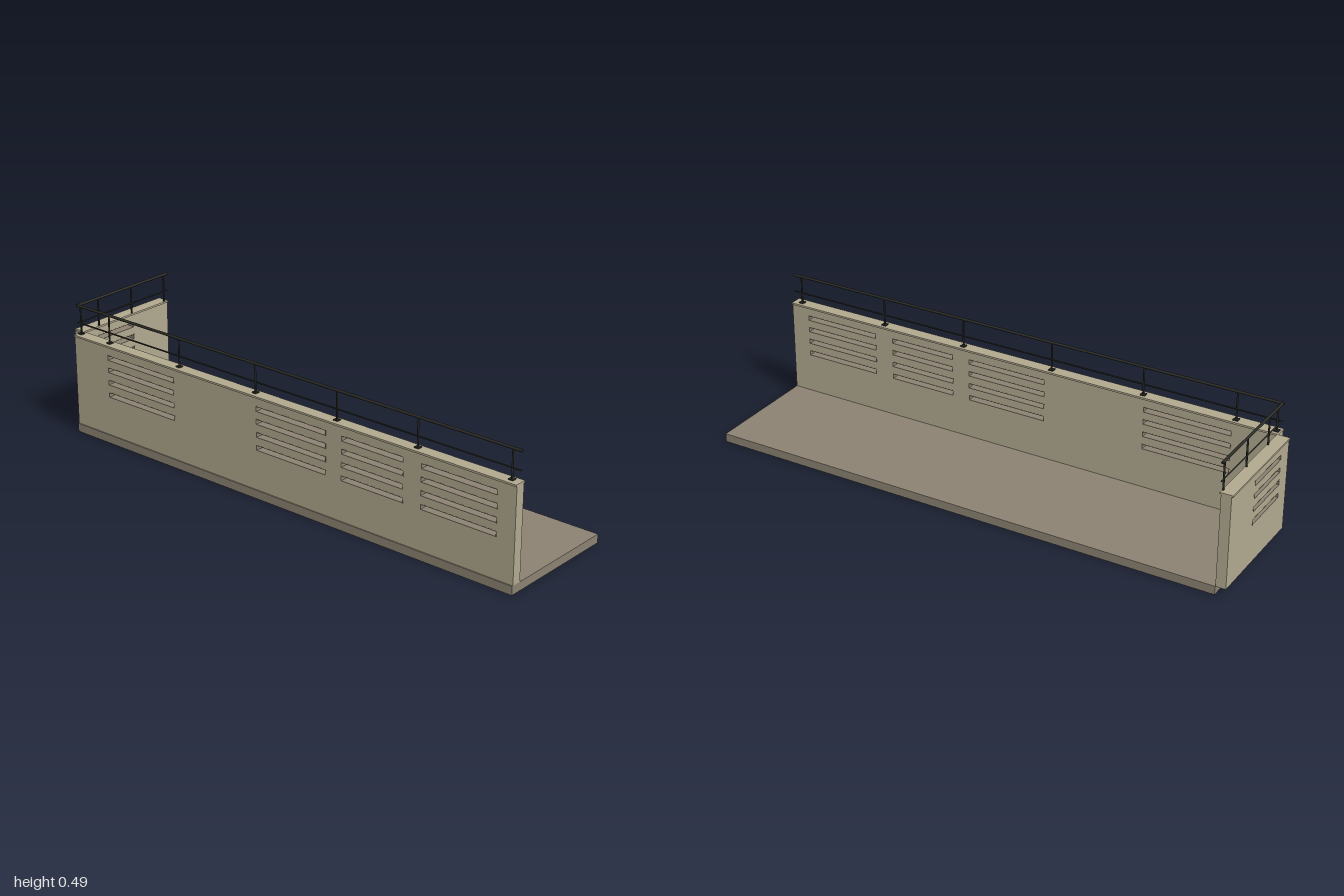
import * as THREE from 'three';

const material = (name, color) => {
  const m = new THREE.MeshStandardMaterial({ color });
  m.name = name;
  return m;
};

export function createModel() {
  const model = new THREE.Group();
  model.name = 'balcony';
  const plaster = material('plaster', 0xb1a98f);
  const stone = material('stone', 0x8b8272);
  const iron = material('dark iron', 0x2a2b25);

  const add = (parent, name, geometry, mat) => {
    const mesh = new THREE.Mesh(geometry, mat);
    mesh.name = name;
    parent.add(mesh);
    return mesh;
  };
  // Box given by its limits on each axis
  const box = (parent, name, x0, x1, y0, y1, z0, z1, mat) =>
    add(parent, name, new THREE.BoxGeometry(x1 - x0, y1 - y0, z1 - z0), mat)
      .position.set((x0 + x1) / 2, (y0 + y1) / 2, (z0 + z1) / 2);
  // Round bar between two points
  const bar = (parent, name, a, b, radius) => {
    const from = new THREE.Vector3(...a), to = new THREE.Vector3(...b);
    const dir = to.clone().sub(from);
    const mesh = add(parent, name, new THREE.CylinderGeometry(radius, radius, dir.length(), 10), iron);
    mesh.position.copy(from).add(to).multiplyScalar(0.5);
    mesh.quaternion.setFromUnitVectors(new THREE.Vector3(0, 1, 0), dir.normalize());
  };
  const rectangle = (path, x0, x1, y0, y1) => {
    path.moveTo(x0, y0);
    path.lineTo(x1, y0);
    path.lineTo(x1, y1);
    path.lineTo(x0, y1);
    path.closePath();
    return path;
  };

  // Wall with rows of open slots, each slot lined with a slim frame
  const rows = [0.179, 0.227, 0.275, 0.322];
  const slotHeight = 0.021, rim = 0.002;
  const slottedWall = (name, x0, x1, depth, spans) => {
    const wall = new THREE.Group();
    wall.name = name;
    const shape = rectangle(new THREE.Shape(), x0, x1, 0.032, 0.373);
    for (const [a, b] of spans) for (const y of rows) {
      shape.holes.push(rectangle(new THREE.Path(), a, b, y, y + slotHeight));
      const frame = rectangle(new THREE.Shape(), a, b, y, y + slotHeight);
      frame.holes.push(rectangle(new THREE.Path(), a + rim, b - rim, y + rim, y + slotHeight - rim));
      add(wall, 'slotFrame', new THREE.ExtrudeGeometry(frame, { depth: depth + 0.001, bevelEnabled: false }), stone)
        .position.z = -0.0005;
    }
    add(wall, 'wallPanel', new THREE.ExtrudeGeometry(shape, { depth, bevelEnabled: false }), plaster);
    model.add(wall);
    return wall;
  };

  // Floor slab
  box(model, 'floor', -0.957, 1, 0, 0.032, -0.24, 0.24, stone);

  // Front and side parapets with their copings
  slottedWall('frontWall', -0.957, 1, 0.037, [[-0.79, -0.46], [-0.075, 0.235], [0.3, 0.56], [0.63, 0.93]])
    .position.z = 0.199;
  const side = slottedWall('sideWall', -0.199, 0.24, 0.037, [[-0.14, 0.062]]);
  side.rotation.y = Math.PI / 2;
  side.position.x = -0.995;
  box(model, 'frontCoping', -0.957, 1, 0.373, 0.38, 0.194, 0.24, plaster);
  box(model, 'sideCoping', -1, -0.953, 0.373, 0.3798, -0.24, 0.194, plaster);

  // Railing: posts with base plates, hand rail and middle rail
  const railing = new THREE.Group();
  railing.name = 'railing';
  model.add(railing);
  const railX = -0.957, railZ = 0.215;
  for (const x of [-0.943, -0.797, -0.451, -0.094, 0.265, 0.6, 0.966]) {
    bar(railing, 'post', [x, 0.38, railZ], [x, 0.485, railZ], 0.0033);
    box(railing, 'postBase', x - 0.009, x + 0.009, 0.38, 0.384, railZ - 0.009, railZ + 0.009, iron);
  }
  for (const z of [0.115, -0.052, -0.222])
    bar(railing, 'post', [railX, 0.378, z], [railX, 0.485, z], 0.0033);
  for (const [name, y, r] of [['handRail', 0.486, 0.005], ['middleRail', 0.42, 0.0027]]) {
    bar(railing, name, [railX - r, y, railZ], [1, y, railZ], r);
    bar(railing, name, [railX, y, railZ + r], [railX, y, -0.24], r);
  }
  return model;
}
